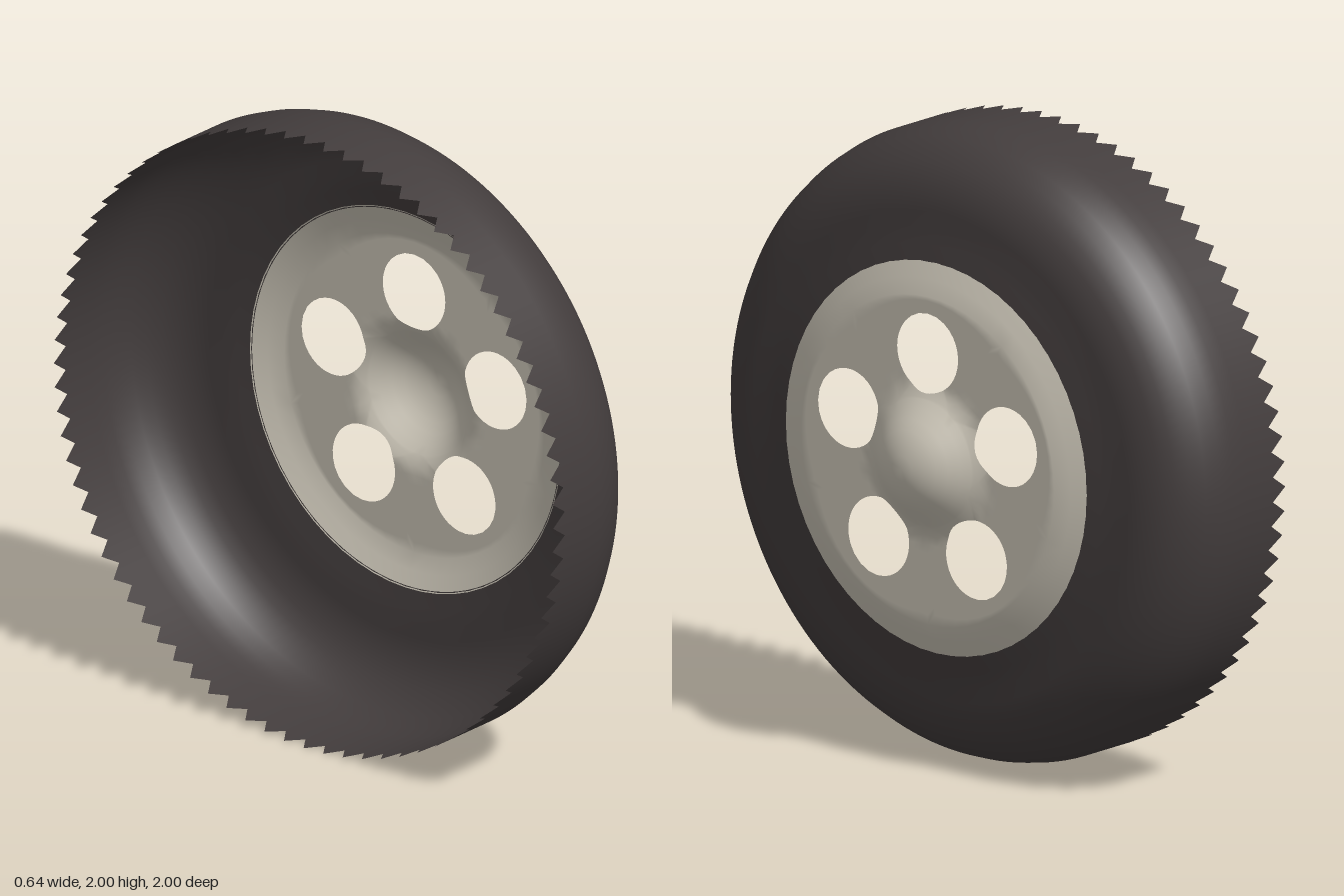
import * as THREE from 'three';
import { mergeGeometries, mergeVertices } from 'three/addons/utils/BufferGeometryUtils.js';

const rubber = new THREE.MeshStandardMaterial({ color: 0x433d3d, side: THREE.DoubleSide });
rubber.name = 'darkRubber';
const metal = new THREE.MeshStandardMaterial({ color: 0xcbc5b7, side: THREE.DoubleSide });
metal.name = 'paleMetal';

// Everything is turned around y first; the finished wheel is laid on its x axle.
const HOLES = 5, ARC_STEPS = 12, SEGMENTS = HOLES * ARC_STEPS;
const HUB_R = 0.2, FACE_R = 0.52, HOLE_CENTRE = 0.342, HOLE_R = 0.125;

const profile = (pairs) => pairs.map(([r, h]) => new THREE.Vector2(r, h));

// Height of the wheel face: flat, rising softly at the foot of the hub
function faceHeight(r) {
  const t = Math.max(0, (0.245 - r) / 0.045);
  return 0.2 + 0.022 * Math.pow(t, 1.3);
}

// Half tyre shell with a saw-toothed open edge
function tyreGeometry() {
  const points = profile([
    [1, -0.27], [1, -0.22], [1, -0.15], [1, -0.09], [0.99, -0.04], [0.972, 0.01],
    [0.945, 0.05], [0.91, 0.085], [0.87, 0.112], [0.82, 0.132], [0.77, 0.14],
    [0.72, 0.143], [0.67, 0.152], [0.615, 0.161],
  ]);
  const steps = 160;
  const geometry = new THREE.LatheGeometry(points, steps);
  const position = geometry.attributes.position;
  for (let i = 0; i <= steps; i++) {
    position.setY(i * points.length, i % 2 ? -0.265 : -0.32);
  }
  return geometry;
}

// One fifth of the wheel face: a wedge lofted outwards from its round hole
function faceSector(index) {
  const mid = -Math.PI / 2 + index * 2 * Math.PI / HOLES;
  const half = Math.PI / HOLES;
  const polar = (r, a) => new THREE.Vector2(r * Math.sin(a), r * Math.cos(a));
  const centre = polar(HOLE_CENTRE, mid);
  const edge = [];
  const sideSteps = 10;
  for (let i = 0; i < ARC_STEPS; i++) edge.push(polar(FACE_R, mid - half + 2 * half * i / ARC_STEPS));
  for (let i = 0; i < sideSteps; i++) edge.push(polar(FACE_R + (HUB_R - FACE_R) * i / sideSteps, mid + half));
  for (let i = 0; i < ARC_STEPS; i++) edge.push(polar(HUB_R, mid + half - 2 * half * i / ARC_STEPS));
  for (let i = 0; i < sideSteps; i++) edge.push(polar(HUB_R + (FACE_R - HUB_R) * i / sideSteps, mid - half));

  const rows = 4, count = edge.length, vertices = [], indices = [];
  for (let s = 0; s <= rows; s++) {
    for (const p of edge) {
      const rim = p.clone().sub(centre).setLength(HOLE_R).add(centre);
      const q = rim.lerp(p, s / rows);
      vertices.push(q.x, faceHeight(q.length()), q.y);
    }
  }
  for (let s = 0; s < rows; s++) {
    for (let k = 0; k < count; k++) {
      const next = (k + 1) % count;
      const a = s * count + k, b = a + count;
      const c = (s + 1) * count + next, d = s * count + next;
      indices.push(a, b, c, a, c, d);
    }
  }
  const geometry = new THREE.BufferGeometry();
  geometry.setAttribute('position', new THREE.Float32BufferAttribute(vertices, 3));
  geometry.setIndex(indices);
  return geometry;
}

// Bevelled rim, pierced face and domed hub as one smooth pressing
function wheelGeometry() {
  const rim = new THREE.LatheGeometry(profile([[0.622, 0.159], [0.57, 0.181], [FACE_R, 0.2]]), SEGMENTS);
  const dome = new THREE.LatheGeometry(profile([
    [HUB_R, faceHeight(HUB_R)], [0.175, 0.242], [0.145, 0.267], [0.115, 0.289],
    [0.08, 0.306], [0.04, 0.317], [0, 0.32],
  ]), SEGMENTS);
  const parts = [rim, dome];
  for (let i = 0; i < HOLES; i++) parts.push(faceSector(i));
  for (const part of parts) {
    part.deleteAttribute('normal');
    part.deleteAttribute('uv');
  }
  const geometry = mergeVertices(mergeGeometries(parts), 1e-4);
  geometry.computeVertexNormals();
  return geometry;
}

export function createModel() {
  const model = new THREE.Group();
  model.name = 'halfWheel';
  const add = (name, geometry, material) => {
    geometry.rotateZ(-Math.PI / 2);
    const mesh = new THREE.Mesh(geometry, material);
    mesh.name = name;
    mesh.position.y = 1;
    model.add(mesh);
  };
  add('tyre', tyreGeometry(), rubber);
  add('wheelDisc', wheelGeometry(), metal);
  return model;
}
